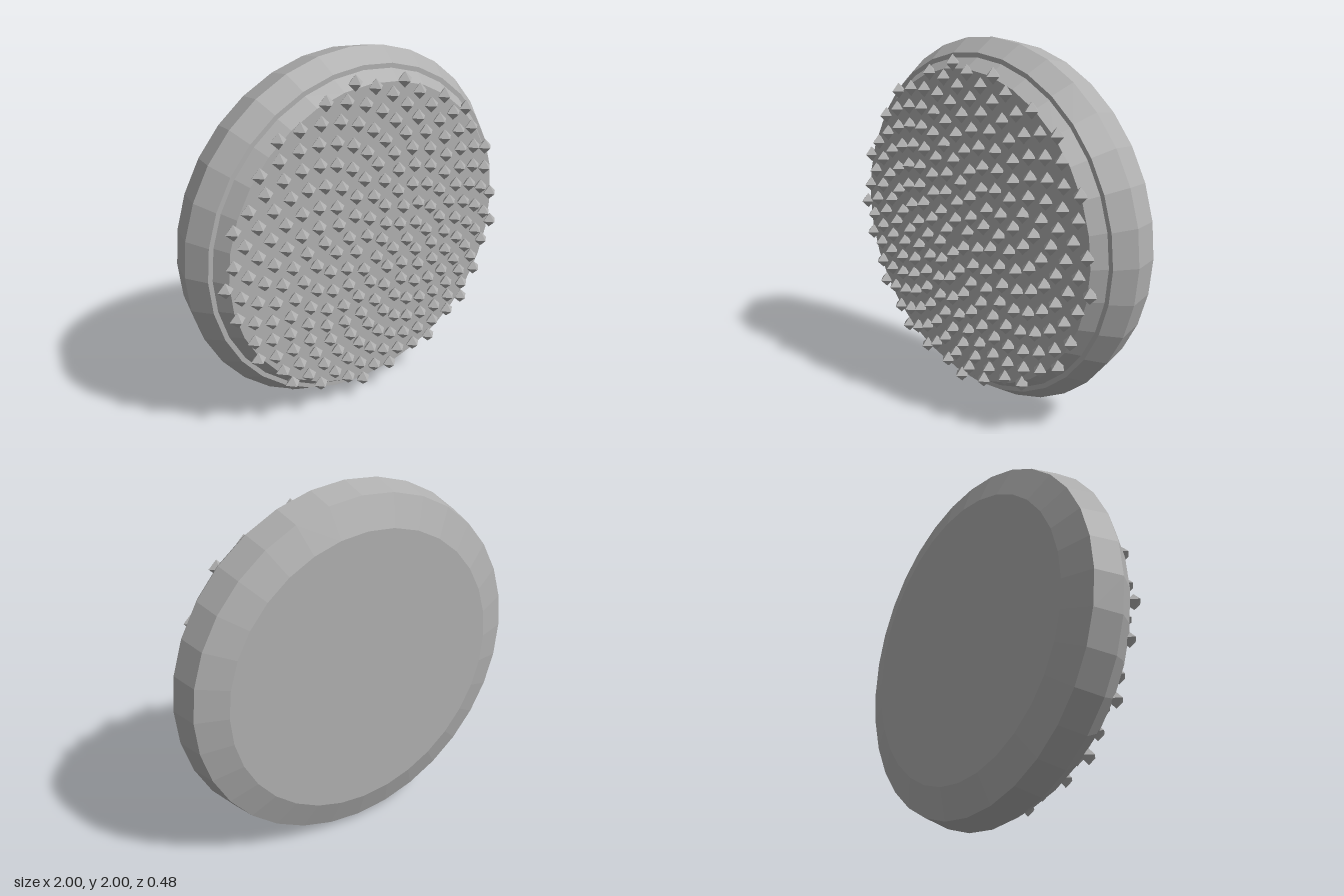
import * as THREE from 'three';

export function createModel() {
  const group = new THREE.Group();
  const grey = new THREE.MeshStandardMaterial({ color: 0xb0b0b0 });
  grey.name = 'grey';

  // Turns a profile of [radius, z] pairs, back to front, into a faceted disc facing +z
  const disc = (name, profile) => {
    const points = profile.map(([r, z]) => new THREE.Vector2(r, z));
    const geometry = new THREE.LatheGeometry(points, 32).rotateX(Math.PI / 2).toNonIndexed();
    geometry.computeVertexNormals();
    const mesh = new THREE.Mesh(geometry, grey);
    mesh.name = name;
    mesh.position.y = 1;
    group.add(mesh);
  };

  // Bevelled round body with a flat back
  disc('body', [[0, -0.245], [0.8, -0.245], [0.965, -0.187], [1, -0.03], [0.93, 0.08], [0.9, 0.08]]);

  // Raised front plate, set in from the body by a narrow step
  disc('frontPlate', [[0.905, 0.08], [0.855, 0.155], [0, 0.155]]);

  // Studs on a golden-angle spiral, slightly domed towards the centre
  const studs = new THREE.Group();
  studs.name = 'studs';
  studs.position.y = 1;
  const studGeometry = new THREE.OctahedronGeometry(0.044);
  const count = 220;
  const goldenAngle = Math.PI * (3 - Math.sqrt(5));
  for (let i = 0; i < count; i++) {
    const r = 0.885 * Math.sqrt((i + 0.5) / count);
    const a = i * goldenAngle;
    const z = 0.15 + 0.045 * Math.sqrt(1 - (r / 0.89) ** 2);
    const stud = new THREE.Mesh(studGeometry, grey);
    stud.name = 'stud';
    stud.position.set(r * Math.cos(a), r * Math.sin(a), z);
    studs.add(stud);
  }
  group.add(studs);

  return group;
}
